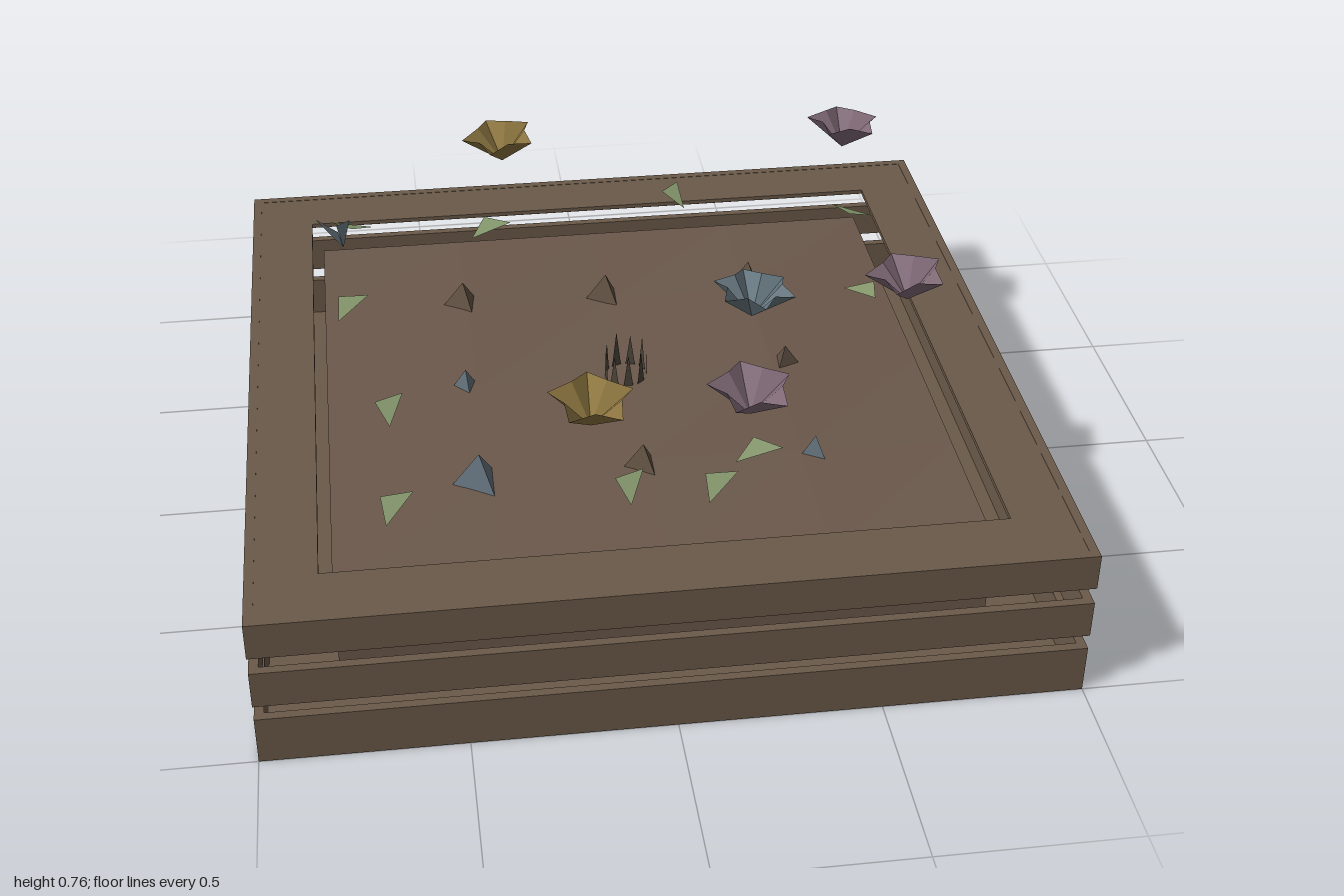
import * as THREE from 'three';

const mat = (name, color, side = THREE.FrontSide) => {
  const m = new THREE.MeshStandardMaterial({ color, side, flatShading: true });
  m.name = name;
  return m;
};

// Flat triangles from a short list of points
function triangles(points) {
  const g = new THREE.BufferGeometry();
  g.setAttribute('position', new THREE.Float32BufferAttribute(points.flat(), 3));
  g.computeVertexNormals();
  return g;
}

// Square ring lying flat, with its underside at y
function ring(outer, inner, height, y) {
  const square = (C, s) => new C([[-s, -s], [s, -s], [s, s], [-s, s]].map(p => new THREE.Vector2(...p)));
  const shape = square(THREE.Shape, outer);
  shape.holes.push(square(THREE.Path, inner));
  const g = new THREE.ExtrudeGeometry(shape, { depth: height, bevelEnabled: false });
  return g.rotateX(-Math.PI / 2).translate(0, y, 0);
}

// Open star-shaped bowl with n pointed petals
function blossom(n) {
  const pts = [];
  const at = (i) => {
    const a = Math.PI / 2 + i * Math.PI / n;
    const tip = i % 2 === 0;
    const r = tip ? 0.107 : 0.072;
    return [r * Math.cos(a), tip ? 0.078 : 0.088, -r * Math.sin(a)];
  };
  for (let i = 0; i < 2 * n; i++) pts.push([0, 0, 0], at(i), at(i + 1));
  return triangles(pts);
}

export function createModel() {
  const model = new THREE.Group();
  const wood = mat('wood', 0x6b5a49);
  const soil = mat('soil', 0x6b584b);
  const pebbleBrown = mat('brown stone', 0x5f5042);
  const stoneBlue = mat('blue stone', 0x5f6d76);
  const gold = mat('gold petal', 0x8c7540, THREE.DoubleSide);
  const purple = mat('purple petal', 0x806a77, THREE.DoubleSide);
  const blue = mat('blue petal', 0x66767f, THREE.DoubleSide);
  const green = mat('leaf green', 0x84966c, THREE.DoubleSide);
  const dark = mat('dark stem', 0x4a4338, THREE.DoubleSide);

  const add = (name, geometry, material, x = 0, y = 0, z = 0) => {
    const m = new THREE.Mesh(geometry, material);
    m.name = name;
    m.position.set(x, y, z);
    model.add(m);
    return m;
  };

  // Three tiers of thin boards with open gaps between them
  [[0, 0.13], [0.17, 0.27], [0.315, 0.412]].forEach(([y0, y1], i) =>
    add(`boardTier${i + 1}`, ring(1, 0.977, y1 - y0, y0), wood));

  // Flat rim on top and matching ledge underneath
  add('topRim', ring(0.977, 0.828, 0.012, 0.399), wood);
  add('bottomLedge', ring(0.977, 0.8, 0.015, 0), wood);

  // Soil block with a gently raised, uneven top
  const block = new THREE.BoxGeometry(1.6, 0.335, 1.6, 4, 1, 4).translate(0, 0.1675, 0);
  const p = block.attributes.position;
  for (let i = 0; i < p.count; i++) {
    const x = p.getX(i), z = p.getZ(i);
    if (p.getY(i) > 0.3 && Math.max(Math.abs(x), Math.abs(z)) < 0.7)
      p.setY(i, 0.352 + 0.008 * Math.sin(5 * x + 3 * z));
  }
  block.computeVertexNormals();
  add('soilBed', block, soil);

  // Blossoms: x, z, petals, material, turn
  [
    [-0.27, -0.67, 5, gold, 0.3],
    [-0.17, 0.68, 5, gold, 0],
    [0.71, -0.63, 5, purple, 0],
    [0.70, 0.22, 5, purple, 0.15],
    [0.21, 0.68, 5, purple, 0.1],
    [0.29, 0.25, 6, blue, 0.1],
  ].forEach(([x, z, n, m, turn], i) => {
    const b = add(`blossom${i + 1}`, blossom(n), m, x, 0.67, z);
    b.rotation.set(0.06 * Math.sin(i * 2), turn, 0.08 * Math.cos(i * 2));
  });

  // Two loose petals
  add('loosePetals', triangles([
    [-0.73, 0.67, -0.23], [-0.80, 0.75, -0.25], [-0.74, 0.745, -0.18],
    [-0.73, 0.67, -0.23], [-0.71, 0.69, -0.34], [-0.745, 0.72, -0.26],
  ]), blue);

  // Leaves: x, z, direction of the long edge
  const leaf = triangles([[-0.06, -0.012, 0.02], [0.06, 0.012, 0.02], [0, 0.016, -0.035]]);
  [
    [-0.71, -0.645, Math.PI], [-0.32, -0.60, 0.3], [0.235, -0.72, 1.6],
    [0.73, -0.55, 2.8], [0.675, -0.12, -1.0], [-0.73, -0.22, 0.8],
    [-0.64, 0.29, 1.25], [-0.645, 0.70, 0.95], [0.13, 0.71, 0.8],
    [0.25, 0.585, 0.1], [-0.08, 0.69, 1.2],
  ].forEach(([x, z, turn], i) => {
    add(`leaf${i + 1}`, leaf, green, x, 0.493, z).rotation.y = turn;
  });

  // Three-sided stones: x, z, radius, material, turn
  [
    [-0.41, -0.42, 0.06, pebbleBrown, 0.4],
    [-0.005, -0.415, 0.058, pebbleBrown, 0.5],
    [0.41, -0.44, 0.055, pebbleBrown, 0.5],
    [-0.43, -0.01, 0.035, stoneBlue, 0.2],
    [0.435, 0, 0.047, pebbleBrown, 1.5],
    [-0.425, 0.43, 0.07, stoneBlue, 0.5],
    [-0.01, 0.425, 0.06, pebbleBrown, 0.5],
    [0.435, 0.415, 0.04, stoneBlue, 0.6],
  ].forEach(([x, z, r, m, turn], i) => {
    const h = 0.02 + r;
    add(`stone${i + 1}`, new THREE.ConeGeometry(r, h, 3), m, x, 0.342 + h / 2, z).rotation.y = turn;
  });

  // Ring of upright shoots in the middle
  const blade = triangles([[-0.014, 0, 0], [0.014, 0, 0], [0, 0.115, 0]]);
  for (let i = 0; i < 9; i++) {
    const a = i * Math.PI * 2 / 9;
    const s = add(`shoot${i + 1}`, blade, dark, 0.055 * Math.sin(a), 0.345, 0.055 * Math.cos(a));
    s.rotation.y = a;
    s.scale.y = 0.9 + 0.1 * Math.sin(i * 3);
  }
  return model;
}
